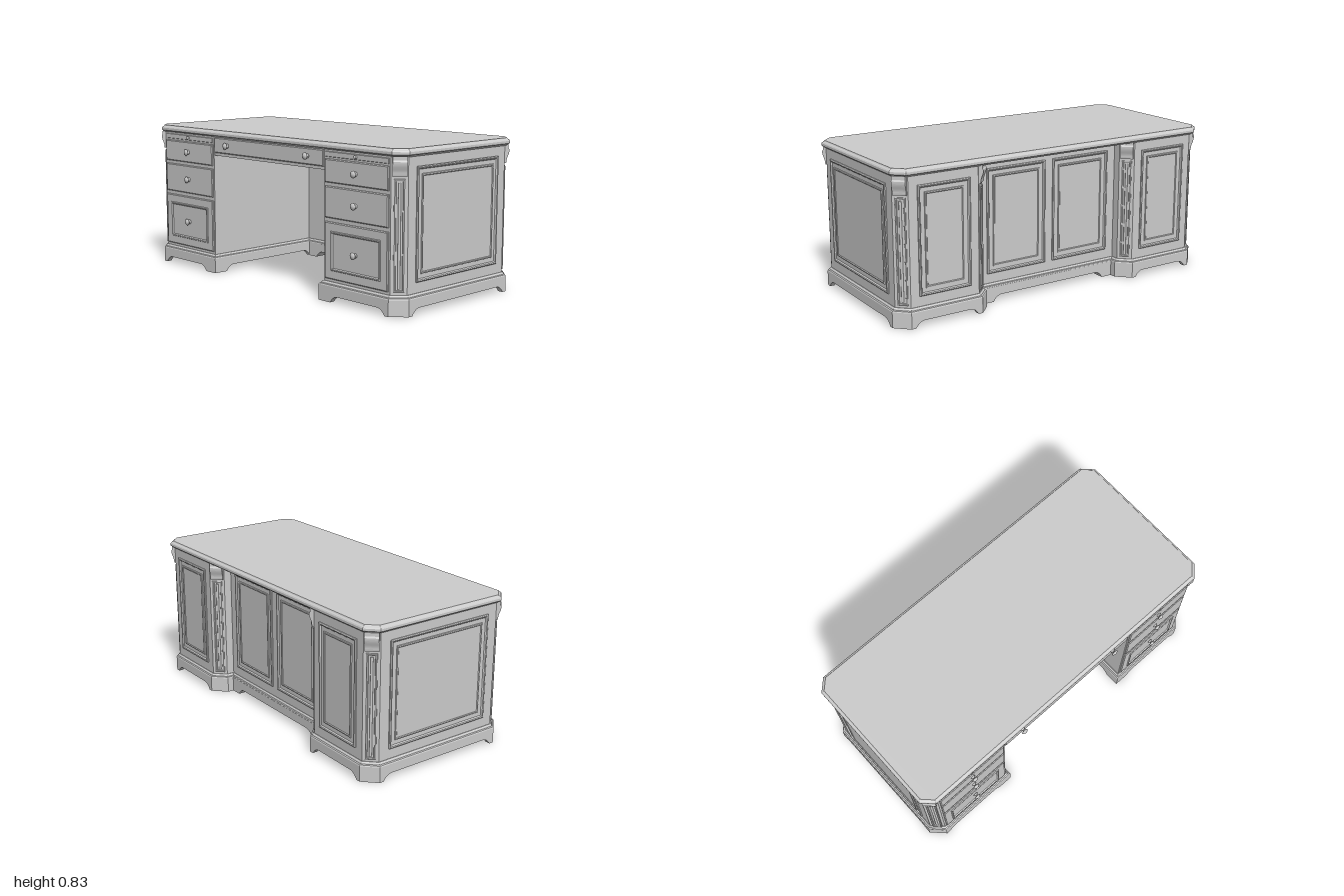
import * as THREE from 'three';

const material = new THREE.MeshStandardMaterial({ color: 0xcccccc });

function add(parent, name, geometry, x = 0, y = 0, z = 0) {
  const mesh = new THREE.Mesh(geometry, material);
  mesh.name = name;
  mesh.position.set(x, y, z);
  parent.add(mesh);
  return mesh;
}

// Edge direction, length, midpoint and outward normal of a convex [x, z] outline
function edgeOf(poly, i) {
  const [ax, az] = poly[i], [bx, bz] = poly[(i + 1) % poly.length];
  const length = Math.hypot(bx - ax, bz - az);
  return { length, x: (ax + bx) / 2, z: (az + bz) / 2, nx: -(bz - az) / length, nz: (bx - ax) / length };
}

// Mitred offset of an outline
function offset(poly, o) {
  return poly.map(([x, z], i) => {
    const a = edgeOf(poly, (i + poly.length - 1) % poly.length), b = edgeOf(poly, i);
    const k = o / (1 + a.nx * b.nx + a.nz * b.nz);
    return [x + (a.nx + b.nx) * k, z + (a.nz + b.nz) * k];
  });
}

// Solid with a moulded edge: profile is a list of [offset, height]
function loft(poly, profile) {
  const rings = profile.map(([o, y]) => offset(poly, o).map(([x, z]) => [x, y, z]));
  const n = poly.length, v = [];
  for (let r = 0; r < rings.length - 1; r++) {
    for (let j = 0; j < n; j++) {
      const k = (j + 1) % n, a = rings[r][j], b = rings[r][k], c = rings[r + 1][k], d = rings[r + 1][j];
      v.push(...a, ...b, ...c, ...a, ...c, ...d);
    }
  }
  const low = rings[0], high = rings[rings.length - 1];
  for (let j = 1; j < n - 1; j++) {
    v.push(...high[0], ...high[j], ...high[j + 1], ...low[0], ...low[j + 1], ...low[j]);
  }
  const g = new THREE.BufferGeometry();
  g.setAttribute('position', new THREE.Float32BufferAttribute(v, 3));
  g.computeVertexNormals();
  return g;
}

const rect = (x0, x1, z0, z1) => [[x0, z1], [x1, z1], [x1, z0], [x0, z0]];

// Rectangular moulded plate standing in the xy plane, facing +z
const plate = (w, h, profile) => loft(rect(-w / 2, w / 2, -h / 2, h / 2), profile).rotateX(Math.PI / 2);

const PANEL = [[0, -0.005], [0, 0.006], [-0.005, 0.01], [-0.011, 0.008], [-0.016, 0.001], [-0.038, 0.001],
  [-0.04, 0.006], [-0.046, 0.007], [-0.05, 0.003]];
const DRAWER = [[0, -0.005], [0, 0.005], [-0.005, 0.009]];
const FILE_DRAWER = [...DRAWER, [-0.046, 0.009], [-0.049, 0.014], [-0.055, 0.014], [-0.06, 0.007]];
const FLUTE = [[0, -0.005], [0, 0.006], [-0.004, 0.008], [-0.01, 0.007], [-0.012, 0.001]];

// Turned knob pointing along +z
function knob(parent, x, y, z, s = 1) {
  const p = [[0, 0], [0.013, 0], [0.013, 0.004], [0.007, 0.008], [0.006, 0.013], [0.017, 0.017],
    [0.019, 0.021], [0.014, 0.025], [0.008, 0.029], [0, 0.03]];
  const g = new THREE.LatheGeometry(p.map(([r, h]) => new THREE.Vector2(r * s, h * s)), 20).rotateX(Math.PI / 2);
  add(parent, 'knob', g, x, y, z);
}

// Plinth board with feet of the given lengths at both ends and an arch between
function plinthBoard(length, footA, footB, thickness) {
  const e = length / 2, h = 0.085, rise = 0.035, run = 0.052;
  const s = new THREE.Shape();
  s.moveTo(-e, 0);
  if (footA) {
    const a = -e + footA, b = e - footB;
    s.lineTo(a, 0);
    s.quadraticCurveTo(a + 0.022, rise, a + run, rise);
    s.lineTo(b - run, rise);
    s.quadraticCurveTo(b - 0.022, rise, b, 0);
  }
  s.lineTo(e, 0);
  s.lineTo(e, h);
  s.lineTo(-e, h);
  return new THREE.ExtrudeGeometry(s, { depth: thickness, bevelEnabled: false, curveSegments: 8 })
    .translate(0, 0, -thickness);
}

// Scrolled bracket facing +z
function corbel(width) {
  const s = new THREE.Shape();
  s.moveTo(-0.005, 0.695);
  s.lineTo(0.01, 0.695);
  s.lineTo(0.012, 0.706);
  s.bezierCurveTo(0.012, 0.73, 0.026, 0.74, 0.026, 0.768);
  s.lineTo(0.021, 0.776);
  s.lineTo(0.021, 0.795);
  s.lineTo(-0.005, 0.795);
  return new THREE.ExtrudeGeometry(s, { depth: width, bevelEnabled: false, curveSegments: 10 })
    .translate(0, 0, -width / 2).rotateY(-Math.PI / 2);
}

// Group lying on one edge of an outline, local +z pointing outward
function onEdge(parent, name, e) {
  const g = new THREE.Group();
  g.name = name;
  g.position.set(e.x, 0, e.z);
  g.rotation.y = Math.atan2(e.nx, e.nz);
  parent.add(g);
  return g;
}

const PLINTH_MOULD = [[0.021, 0.085], [0.018, 0.091], [0.011, 0.094], [0.009, 0.1], [0.003, 0.105]];

function pedestal() {
  const g = new THREE.Group();
  const foot = [[0.455, 0.435], [0.92, 0.435], [0.98, 0.375], [0.98, -0.39], [0.92, -0.45], [0.515, -0.45], [0.455, -0.39]];
  const faces = ['drawerFront', 'cornerPost', 'sidePanel', 'cornerPost', 'backPanel', 'cornerPost', 'kneeholeSide'];
  const feet = [[0.085, 0.025], null, [0.025, 0.025], null, [0.025, 0.025], null, [0.1, 0.085]];
  add(g, 'pedestalBody', loft(foot, [[0, 0.04], [0, 0.795]]));
  add(g, 'plinthMoulding', loft(foot, PLINTH_MOULD));

  const base = offset(foot, 0.021);
  faces.forEach((name, i) => {
    const be = edgeOf(base, i), [a, b] = feet[i] || [0, 0];
    add(onEdge(g, 'plinth', be), 'plinthBoard', plinthBoard(be.length, a, b, 0.03));

    const face = onEdge(g, name, edgeOf(foot, i));
    if (name === 'cornerPost') {
      add(face, 'corbel', corbel(0.072));
      add(face, 'flutedPanel', plate(0.056, 0.565, FLUTE), 0, 0.4, 0);
      add(face, 'reed', new THREE.CylinderGeometry(0.007, 0.007, 0.53, 10), 0, 0.4, 0.001);
    } else if (name === 'sidePanel') {
      add(face, 'panel', plate(0.645, 0.58, PANEL), 0, 0.45, 0);
    } else if (name === 'backPanel') {
      add(face, 'panel', plate(0.305, 0.58, PANEL), 0, 0.45, 0);
    } else if (name === 'drawerFront') {
      add(face, 'writingSlide', plate(0.44, 0.028, [[0, -0.005], [0, 0.002], [-0.002, 0.004]]), 0, 0.77, 0);
      knob(face, 0, 0.77, 0.004, 0.5);
      add(face, 'topDrawer', plate(0.444, 0.122, DRAWER), 0, 0.685, 0);
      add(face, 'middleDrawer', plate(0.444, 0.165, DRAWER), 0, 0.523, 0);
      add(face, 'fileDrawer', plate(0.444, 0.3, FILE_DRAWER), 0, 0.27, 0);
      for (const y of [0.685, 0.523, 0.27]) knob(face, 0, y, 0.007);
    }
  });
  return g;
}

export function createModel() {
  const desk = new THREE.Group();
  desk.name = 'desk';

  // Desktop with clipped corners and rounded edge
  const c = 0.062;
  const outline = [[-1 + c, 0.45], [1 - c, 0.45], [1, 0.45 - c], [1, -0.47 + c], [1 - c, -0.47],
    [-1 + c, -0.47], [-1, -0.47 + c], [-1, 0.45 - c]];
  add(desk, 'desktop', loft(outline, [[-0.018, 0.79], [-0.012, 0.797], [-0.004, 0.8], [0, 0.806], [0, 0.816],
    [-0.004, 0.822], [-0.012, 0.826], [-0.016, 0.832]]));

  // Mirrored pedestals
  for (const s of [1, -1]) {
    const p = pedestal();
    p.name = s > 0 ? 'leftPedestal' : 'rightPedestal';
    p.scale.x = s;
    desk.add(p);
  }

  // Recessed back between the pedestals
  const wall = rect(-0.46, 0.46, -0.345, -0.31);
  add(desk, 'kneeholeBack', loft(wall, [[0, 0.04], [0, 0.795]]));
  add(desk, 'kneeholeMoulding', loft(wall, PLINTH_MOULD.map(([o, y]) => [o * 0.8, y])));
  const back = onEdge(desk, 'centreBack', { x: 0, z: -0.345, nx: 0, nz: -1 });
  add(back, 'plinthBoard', plinthBoard(0.88, 0.07, 0.07, 0.07), 0, 0, 0.018);
  for (const s of [1, -1]) add(back, 'panel', plate(0.375, 0.58, PANEL), s * 0.2125, 0.45, 0);

  // Centre drawer
  add(desk, 'drawerCase', new THREE.BoxGeometry(0.92, 0.11, 0.745), 0, 0.74, 0.0575);
  add(desk, 'centreDrawer', plate(0.9, 0.088, DRAWER), 0, 0.746, 0.43);
  for (const s of [1, -1]) knob(desk, s * 0.33, 0.748, 0.437);
  return desk;
}
